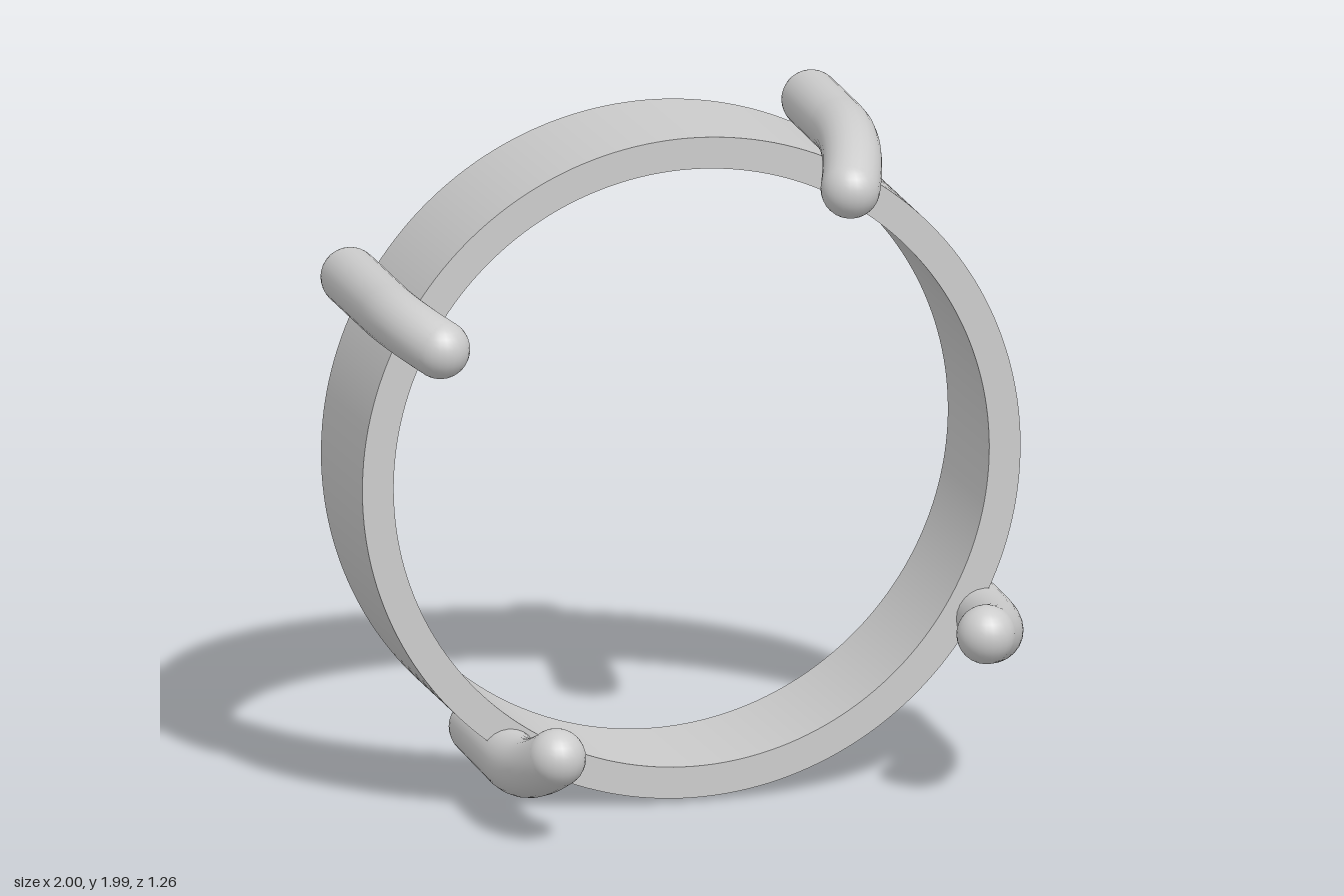
import * as THREE from 'three';
import { toCreasedNormals } from 'three/addons/utils/BufferGeometryUtils.js';

const material = new THREE.MeshStandardMaterial({ color: 0xcccccc });
const v = (p) => new THREE.Vector3(...p);

// Flat band with a rectangular section, running between two face centres
function makeRing(back, front, outer, inner) {
  const shape = new THREE.Shape().absarc(0, 0, outer, 0, Math.PI * 2);
  shape.holes.push(new THREE.Path().absarc(0, 0, inner, 0, Math.PI * 2, true));
  const geometry = new THREE.ExtrudeGeometry(shape, {
    depth: back.distanceTo(front), bevelEnabled: false, curveSegments: 96,
  });
  const ring = new THREE.Mesh(toCreasedNormals(geometry, 0.6), material);
  ring.name = 'ring';
  ring.position.copy(back);
  ring.lookAt(front);
  return ring;
}

// Round prong: straight shank, bent tip, rounded ends
function makeProng(name, radius, [back, bend, control, tip]) {
  const prong = new THREE.Group();
  prong.name = name;
  const path = new THREE.CurvePath();
  path.add(new THREE.LineCurve3(back, bend));
  path.add(new THREE.QuadraticBezierCurve3(bend, control, tip));
  const rod = new THREE.Mesh(new THREE.TubeGeometry(path, 40, radius, 24), material);
  rod.name = 'rod';
  prong.add(rod);
  for (const [end, label] of [[back, 'backCap'], [tip, 'tipCap']]) {
    const cap = new THREE.Mesh(new THREE.SphereGeometry(radius, 24, 16), material);
    cap.name = label;
    cap.position.copy(end);
    prong.add(cap);
  }
  return prong;
}

export function createModel() {
  const model = new THREE.Group();
  model.name = 'prongedRing';
  model.add(makeRing(v([0.08, 0.952, -0.4]), v([-0.025, 0.963, 0.02]), 0.947, 0.857));

  // Back end, start of bend, bend control, tip
  const prongs = {
    topProng: [[0.475, 1.903, -0.19], [0.4, 1.91, 0.1], [0.345, 1.92, 0.3], [0.25, 1.835, 0.43]],
    lowerLeftProng: [[0.86, 0.465, -0.05], [0.785, 0.47, 0.25], [0.735, 0.475, 0.42], [0.615, 0.525, 0.55]],
    lowerRightProng: [[-0.455, 0.165, -0.42], [-0.555, 0.172, -0.05], [-0.6, 0.18, 0.12], [-0.58, 0.26, 0.24]],
    upperRightProng: [[-0.807, 1.49, -0.52], [-0.895, 1.495, -0.15], [-0.935, 1.5, 0.02], [-0.89, 1.46, 0.135]],
  };
  for (const [name, points] of Object.entries(prongs)) {
    model.add(makeProng(name, 0.083, points.map(v)));
  }
  return model;
}
